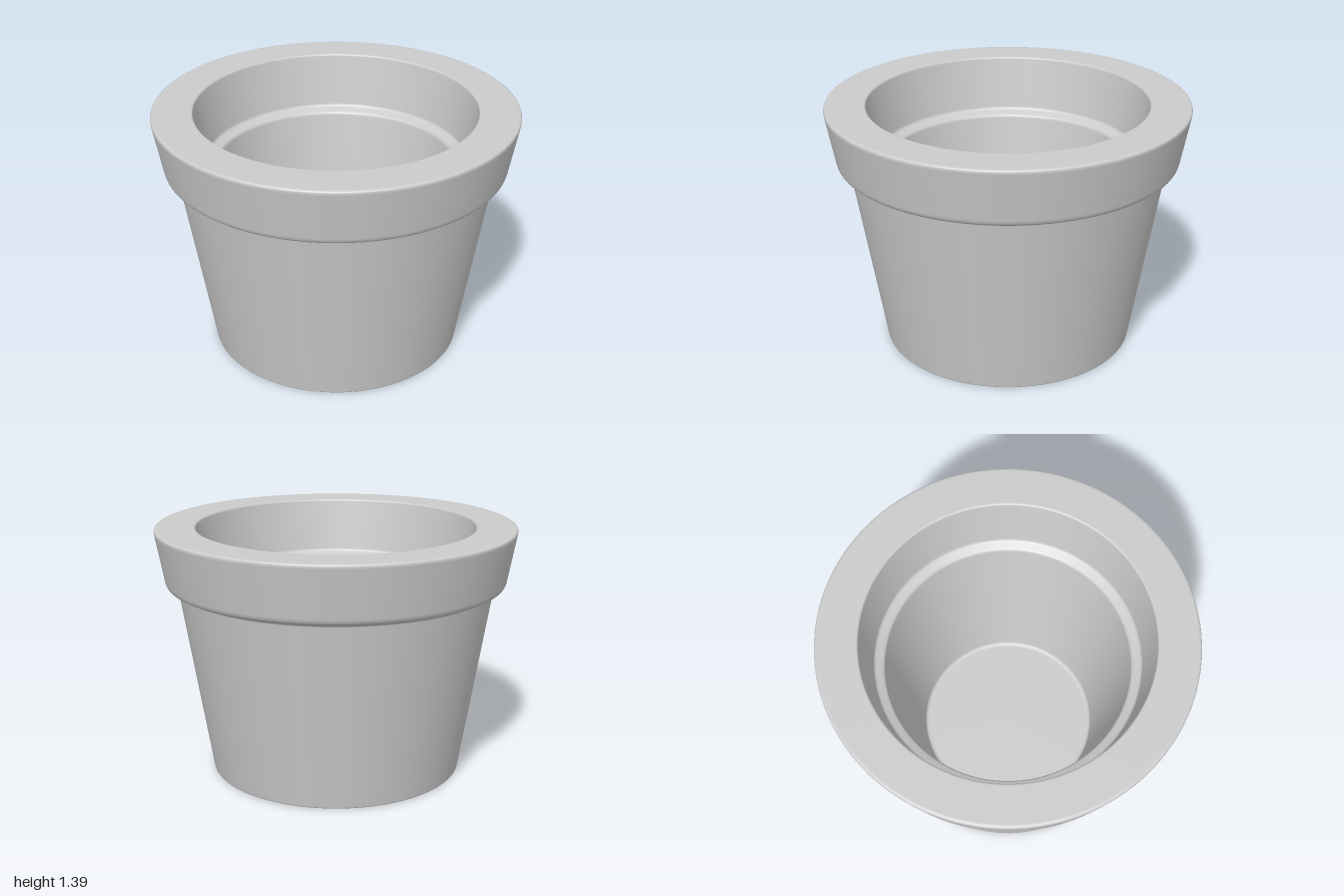
import * as THREE from 'three';

// Corner list [radius, height, bevel] -> lathe profile with rounded corners
function roundedProfile(corners) {
  const pts = [];
  const v = corners.map(([r, y]) => new THREE.Vector2(r, y));
  v.forEach((p, i) => {
    const bevel = corners[i][2];
    if (!bevel) { pts.push(p); return; }
    const toward = (q, d) => p.clone().add(q.clone().sub(p).setLength(d));
    const a = toward(v[i - 1], bevel), b = toward(v[i + 1], bevel);
    // support points keep the shading flat next to the bevel
    pts.push(toward(v[i - 1], bevel * 1.2));
    pts.push(...new THREE.QuadraticBezierCurve(a, p, b).getPoints(4));
    pts.push(toward(v[i + 1], bevel * 1.2));
  });
  return pts;
}

export function createModel() {
  const group = new THREE.Group();
  group.name = 'flowerPot';
  const material = new THREE.MeshStandardMaterial({ color: 0xcccccc });

  // One closed shell: base, outer wall, thick rim, stepped inner wall, floor
  const profile = roundedProfile([
    [0, 0, 0],
    [0.708, 0, 0.008],
    [0.88, 1.06, 0.01],
    [0.945, 1.08, 0.025],
    [1.003, 1.395, 0.02],
    [0.775, 1.395, 0.01],
    [0.722, 1.085, 0.012],
    [0.668, 1.06, 0.012],
    [0.506, 0.07, 0.02],
    [0, 0.07, 0],
  ]);
  const pot = new THREE.Mesh(new THREE.LatheGeometry(profile, 96), material);
  pot.name = 'pot';
  group.add(pot);
  return group;
}
